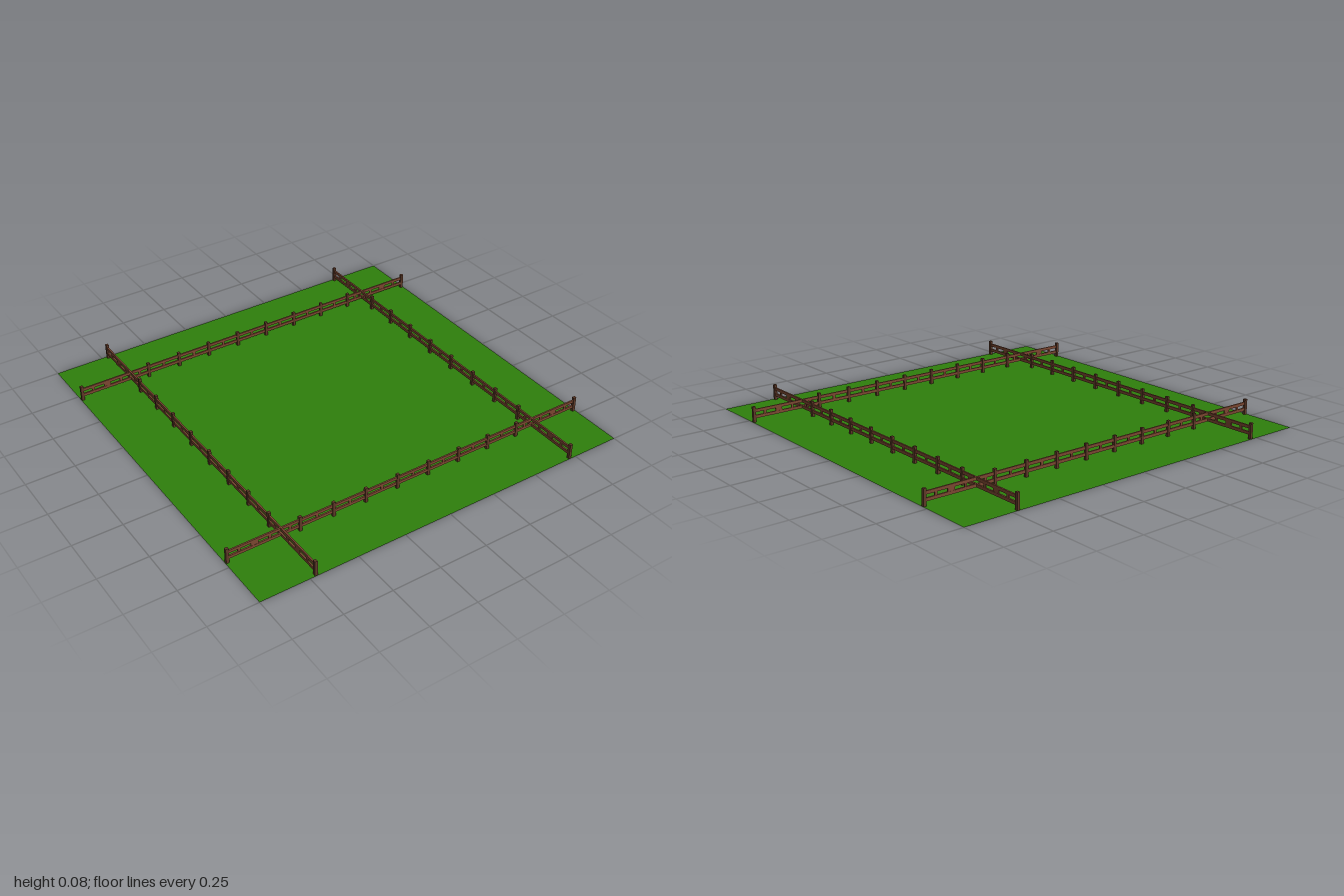
import * as THREE from 'three';

const grass = new THREE.MeshStandardMaterial({ color: 0x2f800c, side: THREE.DoubleSide });
const railWood = new THREE.MeshStandardMaterial({ color: 0x7a4630 });
const postWood = new THREE.MeshStandardMaterial({ color: 0x5c3826 });

function box(parent, name, size, position, material) {
  const mesh = new THREE.Mesh(new THREE.BoxGeometry(...size), material);
  mesh.name = name;
  mesh.position.set(...position);
  parent.add(mesh);
}

// One straight fence along x: two rails, tall posts and short slats between the rails
function createFence() {
  const fence = new THREE.Group();
  for (const y of [0.027, 0.058]) {
    box(fence, 'rail', [1.98, 0.015, 0.008], [0, y, 0], railWood);
  }
  for (const side of [-1, 1]) {
    for (const x of [0.088, 0.265, 0.441, 0.618, 0.99]) {
      box(fence, 'post', [0.015, 0.08, 0.014], [side * x, 0.04, 0], postWood);
    }
    for (const x of [0.177, 0.353, 0.53, 0.67, 0.775, 0.93]) {
      box(fence, 'slat', [0.013, 0.03, 0.006], [side * x, 0.0425, 0], railWood);
    }
    // overlapping slats where two fence sections meet
    box(fence, 'wideSlat', [0.036, 0.03, 0.006], [side * 0.852, 0.0425, 0], railWood);
  }
  box(fence, 'slat', [0.013, 0.03, 0.006], [0, 0.0425, 0], railWood);
  return fence;
}

export function createModel() {
  const model = new THREE.Group();
  model.name = 'fencedField';

  // Grass field
  const ground = new THREE.Mesh(new THREE.PlaneGeometry(2, 2), grass);
  ground.name = 'grassField';
  ground.rotation.x = -Math.PI / 2;
  model.add(ground);

  // Four fences crossing near the corners
  ['frontFence', 'leftFence', 'backFence', 'rightFence'].forEach((name, i) => {
    const side = new THREE.Group();
    side.name = name;
    side.rotation.y = (i * Math.PI) / 2;
    const fence = createFence();
    fence.position.z = 0.717;
    side.add(fence);
    model.add(side);
  });

  return model;
}
